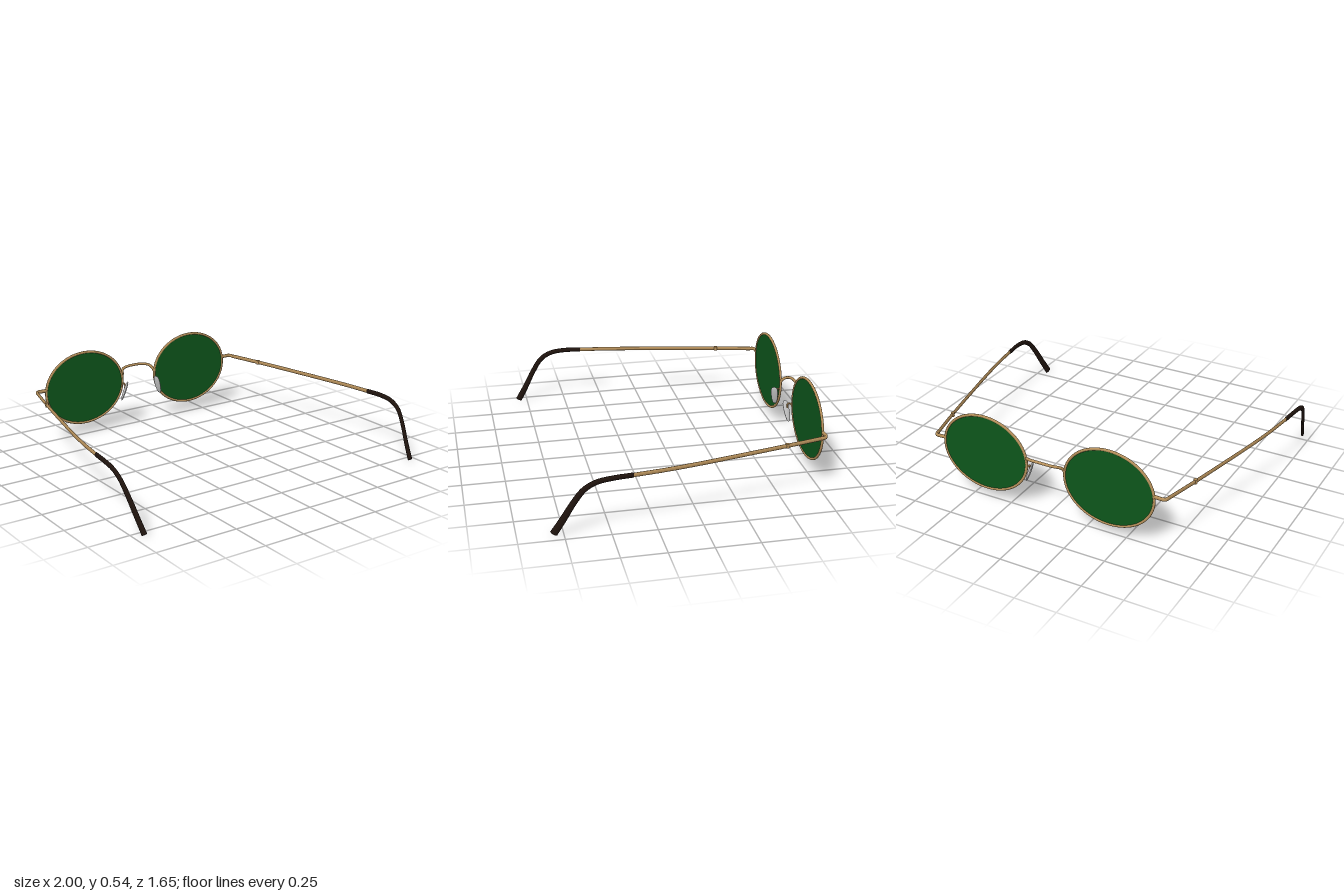
import * as THREE from 'three';

const gold = new THREE.MeshStandardMaterial({ color: 0xb58f5a });
const green = new THREE.MeshStandardMaterial({ color: 0x0d551b });
const dark = new THREE.MeshStandardMaterial({ color: 0x20140e });
const grey = new THREE.MeshStandardMaterial({ color: 0xcccccc });

const LENS = { x: 0.399, y: 0.305, z: -0.768, rx: 0.276, ry: 0.232 };

function add(parent, name, geometry, material) {
  const mesh = new THREE.Mesh(geometry, material);
  mesh.name = name;
  parent.add(mesh);
  return mesh;
}

const curveThrough = (points, s = 1) =>
  new THREE.CatmullRomCurve3(points.map(([x, y, z]) => new THREE.Vector3(s * x, y, z)));

// Sweeps an oval along a curve; size(u) gives [half width, half height]; ends are closed
function sweep(curve, size, steps = 40, sides = 14) {
  const pos = [], idx = [], up = new THREE.Vector3(0, 1, 0);
  const rings = [[0, 0], [0, 0.75]];
  for (let i = 0; i <= steps; i++) rings.push([0.004 + 0.992 * i / steps, 1]);
  rings.push([1, 0.75], [1, 0]);
  rings.forEach(([u, k]) => {
    const p = curve.getPointAt(u), t = curve.getTangentAt(u);
    const n = new THREE.Vector3().crossVectors(up, t).normalize();
    const v = new THREE.Vector3().crossVectors(t, n);
    const [w, h] = size(u);
    for (let j = 0; j <= sides; j++) {
      const a = j / sides * Math.PI * 2;
      const q = p.clone().addScaledVector(n, k * w * Math.cos(a)).addScaledVector(v, k * h * Math.sin(a));
      pos.push(q.x, q.y, q.z);
    }
  });
  const row = sides + 1;
  for (let i = 0; i < rings.length - 1; i++)
    for (let j = 0; j < sides; j++) {
      const a = i * row + j, b = a + 1, c = a + row, d = c + 1;
      idx.push(a, b, c, b, d, c);
    }
  const g = new THREE.BufferGeometry();
  g.setAttribute('position', new THREE.Float32BufferAttribute(pos, 3));
  g.setIndex(idx);
  g.computeVertexNormals();
  return g;
}

// Closed oval path for the wire rim
class Oval extends THREE.Curve {
  getPoint(t, target = new THREE.Vector3()) {
    const a = t * Math.PI * 2;
    return target.set(LENS.rx * Math.cos(a), LENS.ry * Math.sin(a), 0);
  }
}

function nosePad() {
  const g = new THREE.SphereGeometry(1, 24, 18);
  const p = g.attributes.position;
  for (let i = 0; i < p.count; i++) {
    const y = p.getY(i);
    // Squared-off oval, narrower towards the bottom
    const fullness = 1 / Math.sqrt(Math.max(0.45, 1 - 0.55 * y * y));
    p.setXYZ(i, p.getX(i) * 0.009, y * 0.067, p.getZ(i) * (0.021 + 0.004 * y) * fullness);
  }
  g.computeVertexNormals();
  return g;
}

function createSide(s) {
  const side = new THREE.Group();
  side.name = s > 0 ? 'leftSide' : 'rightSide';

  // Lens and rim
  const lens = add(side, 'lens', new THREE.CylinderGeometry(1, 1, 0.006, 72).rotateX(Math.PI / 2)
    .scale(LENS.rx, LENS.ry, 1), green);
  const rim = add(side, 'rim', new THREE.TubeGeometry(new Oval(), 96, 0.008, 10, true), gold);
  for (const m of [lens, rim]) m.position.set(s * LENS.x, LENS.y, LENS.z);

  // End piece turning the corner into the temple
  add(side, 'endPiece', sweep(curveThrough([
    [0.672, 0.333, -0.768], [0.7, 0.333, -0.77], [0.728, 0.333, -0.77],
    [0.741, 0.332, -0.762], [0.747, 0.331, -0.735]], s), () => [0.008, 0.0115], 20), gold);

  // Temple wire, hinge and ear tip
  add(side, 'temple', sweep(curveThrough([
    [0.744, 0.331, -0.75], [0.8, 0.331, -0.52], [0.862, 0.33, -0.24],
    [0.913, 0.329, 0], [0.95, 0.329, 0.2], [0.976, 0.329, 0.39]], s), () => [0.0065, 0.0125]), gold);
  const hinge = add(side, 'hinge', new THREE.CylinderGeometry(0.011, 0.011, 0.026, 16), gold);
  hinge.position.set(s * 0.799, 0.331, -0.52);
  add(side, 'earTip', sweep(curveThrough([
    [0.974, 0.329, 0.375], [0.986, 0.328, 0.49], [0.989, 0.315, 0.575], [0.986, 0.278, 0.64],
    [0.974, 0.2, 0.697], [0.958, 0.1, 0.753], [0.945, 0.012, 0.806]], s),
  u => [0.0095, 0.0145 + 0.007 * u * u]), dark);

  // Nose pad on its small curved wire
  const pad = add(side, 'nosePad', nosePad(), grey);
  pad.position.set(s * 0.127, 0.241, -0.732);
  pad.rotation.set(0, s * 0.45, s * 0.34);
  add(side, 'padArm', new THREE.TubeGeometry(curveThrough([
    [0.131, 0.262, -0.766], [0.124, 0.282, -0.758], [0.12, 0.287, -0.745],
    [0.122, 0.275, -0.735], [0.126, 0.26, -0.734]], s), 20, 0.005, 8), gold);
  return side;
}

export function createModel() {
  const model = new THREE.Group();
  model.name = 'spectacles';
  for (const s of [1, -1]) model.add(createSide(s));

  // Bridge, bowed up and away from the lenses
  const half = [[0.124, 0.325, -0.768], [0.116, 0.345, -0.774], [0.104, 0.363, -0.795],
    [0.08, 0.371, -0.812], [0.045, 0.375, -0.82]];
  const path = [...half, [0, 0.376, -0.821], ...half.map(([x, y, z]) => [-x, y, z]).reverse()];
  add(model, 'bridge', new THREE.TubeGeometry(curveThrough(path), 60, 0.0085, 12), gold);
  return model;
}
